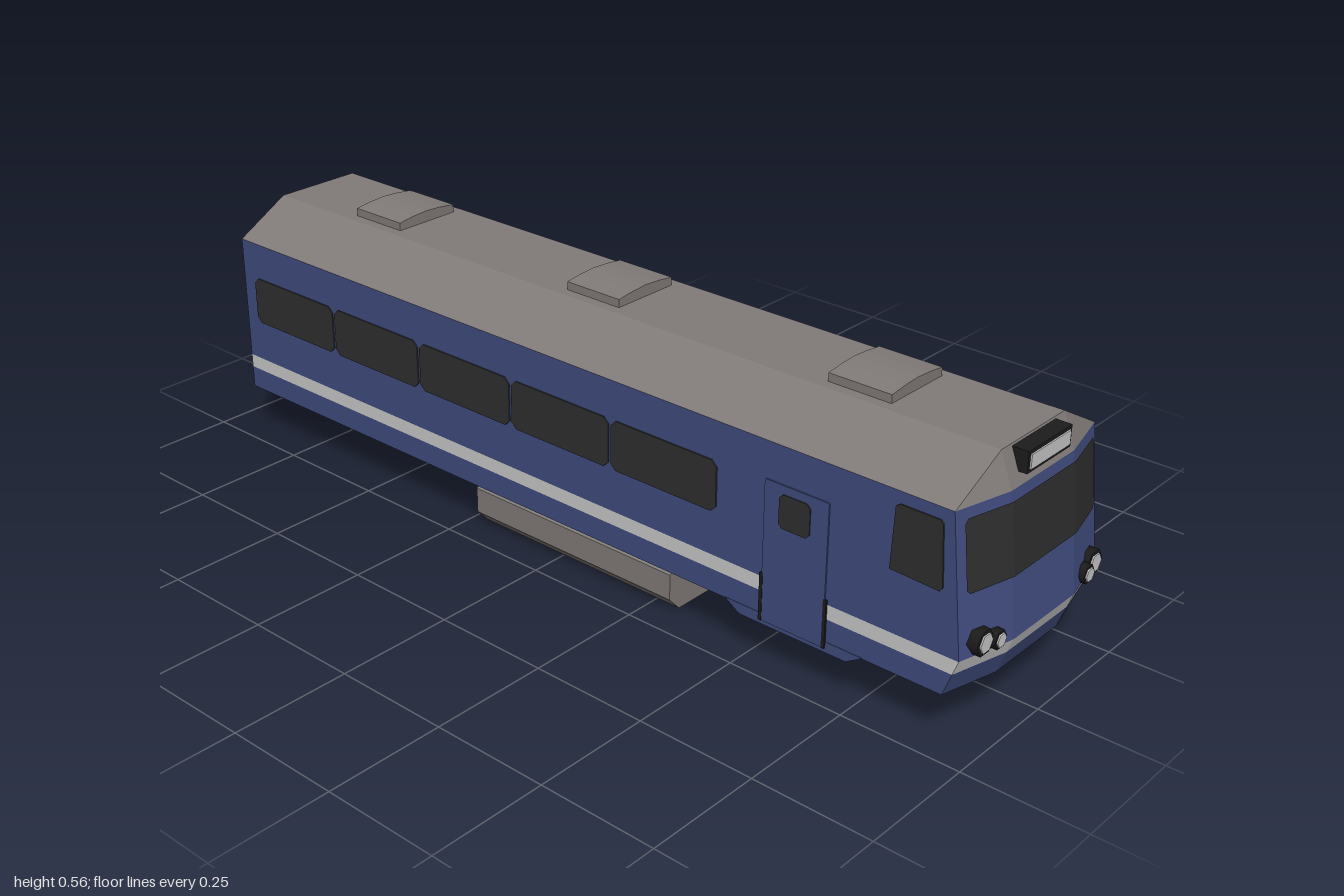
import * as THREE from 'three';

const mat = (name, color) => Object.assign(new THREE.MeshStandardMaterial({ color }), { name });

export function createModel() {
  const train = new THREE.Group();
  train.name = 'railcar';
  const blue = mat('body blue', 0x404c7e);
  const grey = mat('roof grey', 0x817b79);
  const dark = mat('glass dark', 0x2e2e2e);
  const black = mat('trim black', 0x1c1c1c);
  const light = mat('stripe light grey', 0xc8c8c8);

  const W = 0.222, INNER = 0.1, REAR = -0.908;

  function add(name, geometry, material, x = 0, y = 0, z = 0, parent = train) {
    const mesh = new THREE.Mesh(geometry, material);
    mesh.name = name;
    mesh.position.set(x, y, z);
    parent.add(mesh);
    return mesh;
  }
  const box = (name, w, h, d, material, x, y, z) =>
    add(name, new THREE.BoxGeometry(w, h, d), material, x, y, z);

  // Flat-shaded surface through rows of points (bottom to top, left to right from outside)
  function skin(rows) {
    const p = [];
    for (let r = 0; r + 1 < rows.length; r++) {
      for (let i = 0; i + 1 < rows[r].length; i++) {
        const a = rows[r][i], b = rows[r][i + 1], c = rows[r + 1][i + 1], d = rows[r + 1][i];
        p.push(...a, ...b, ...c, ...a, ...c, ...d);
      }
    }
    const g = new THREE.BufferGeometry();
    g.setAttribute('position', new THREE.Float32BufferAttribute(p, 3));
    g.computeVertexNormals();
    return g;
  }

  function outline(points) {
    return new THREE.Shape(points.map(([x, y]) => new THREE.Vector2(x, y)));
  }
  function prism(points, depth) {
    return new THREE.ExtrudeGeometry(outline(points), { depth, bevelEnabled: false });
  }
  // Rectangle with cut corners, centred on the origin
  function cutRect(w, h, c) {
    const a = w / 2, b = h / 2;
    return [[-a + c, -b], [a - c, -b], [a, -b + c], [a, b - c], [a - c, b], [-a + c, b], [-a, b - c], [-a, -b + c]];
  }

  // Nose profile: furthest forward at the stripe, raked back above and below
  function noseZ(y) {
    if (y < 0.19) return THREE.MathUtils.mapLinear(y, 0.112, 0.19, 0.965, 0.993);
    return THREE.MathUtils.mapLinear(y, 0.19, 0.465, 0.993, 0.962);
  }
  const faceZ = (x, y) => noseZ(y) - 0.03 * Math.max(0, Math.abs(x) - INNER) / (W - INNER);

  // Body shell in horizontal bands
  const ring = (y) => [
    [-W, y, faceZ(W, y)], [-INNER, y, noseZ(y)], [INNER, y, noseZ(y)], [W, y, faceZ(W, y)],
    [W, y, REAR], [-W, y, REAR], [-W, y, faceZ(W, y)],
  ];
  add('lowerBody', skin([ring(0.112), ring(0.16)]), blue);
  add('bodyStripe', skin([ring(0.16), ring(0.19)]), light);
  add('upperBody', skin([ring(0.19), ring(0.465)]), blue);

  // Roof with sloped sides and nose
  const ty = 0.533, tz = 0.936;
  const topRing = [
    [-INNER, ty, tz], [-INNER, ty, tz], [INNER, ty, tz], [INNER, ty, tz],
    [INNER, ty, REAR], [-INNER, ty, REAR], [-INNER, ty, tz],
  ];
  add('roofSides', skin([ring(0.465), topRing]), grey);
  add('roofTop', skin([[topRing[0], topRing[2]], [topRing[5], topRing[4]]]), grey);

  // Underfloor
  const f = ring(0.112);
  add('underfloor', skin([[f[5], f[5], f[4], f[4]], [f[0], f[1], f[2], f[3]]]), black);

  // Windscreen wrapped round the nose
  const screenRow = (y, w) => [-w, -INNER, INNER, w].map((x) => [x, y, faceZ(x, y) + 0.004]);
  add('windscreen', skin([
    screenRow(0.31, 0.198), screenRow(0.318, 0.205), screenRow(0.439, 0.205), screenRow(0.447, 0.198),
  ]), dark);

  // Destination box above the windscreen
  box('destinationFrame', 0.138, 0.042, 0.04, black, 0, 0.508, 0.95);
  box('destinationPanel', 0.125, 0.028, 0.004, light, 0, 0.508, 0.971);

  // Six-sided headlights
  function hexLamp(name, x, y, r) {
    const lamp = new THREE.Group();
    lamp.name = name;
    lamp.position.set(x, y, faceZ(x, y));
    const hex = (rad, depth) => new THREE.CylinderGeometry(rad, rad, depth, 6)
      .rotateY(Math.PI / 6).rotateX(Math.PI / 2).toNonIndexed();
    add('lampHousing', hex(r, 0.03), black, 0, 0, 0, lamp);
    add('lampLens', hex(r * 0.74, 0.006), light, 0, 0, 0.015, lamp);
    train.add(lamp);
  }

  for (const s of [-1, 1]) {
    hexLamp('headlight', s * 0.179, 0.217, 0.026);
    hexLamp('markerLight', s * 0.145, 0.211, 0.019);

    // Flat plate on a body side: shape is drawn in (z, y)
    const sidePlate = (name, points, z, y, thick, material) => {
      const g = prism(points.map(([a, b]) => [-a, b]).reverse(), thick).rotateY(Math.PI / 2);
      if (s < 0) g.translate(-thick, 0, 0);
      return add(name, g, material, s * W, y, z);
    };

    // Passenger windows
    for (let i = 0; i < 5; i++) {
      sidePlate('sideWindow', cutRect(0.256, 0.104, 0.012), 0.308 - i * 0.2625, 0.333, 0.003, dark);
    }
    // Cab window
    sidePlate('cabWindow', [[-0.053, -0.062], [0.048, -0.066], [0.054, -0.058], [0.046, 0.06],
      [0.04, 0.066], [-0.04, 0.066], [-0.048, 0.06]], 0.868, 0.376, 0.003, dark);

    // Door, its window and lower jambs
    sidePlate('sideDoor', cutRect(0.14, 0.29, 0.002), 0.616, 0.246, 0.003, blue);
    sidePlate('doorWindow', cutRect(0.068, 0.068, 0.008), 0.614, 0.34, 0.005, dark);
    for (const e of [-1, 1]) {
      sidePlate('doorJamb', cutRect(0.007, 0.1, 0.001), 0.616 + e * 0.071, 0.15, 0.004, black);
    }

    // Step well below the door: black block with a blue outer face
    const well = [[-0.155, 0.022], [-0.12, 0], [0.12, 0], [0.155, 0.022]];
    const block = sidePlate('stepWell', well, 0.616, 0.092, 0.04, black);
    block.position.x = s * (W - 0.04);
    sidePlate('stepSkirt', well, 0.616, 0.092, 0.001, blue);
  }

  // Roof vents with a shallow crown
  for (const z of [0.633, 0, -0.62]) {
    add('roofVent', prism([[-0.077, 0], [0.077, 0], [0.077, 0.02], [0.035, 0.025], [0, 0.027],
      [-0.035, 0.025], [-0.077, 0.02]], 0.136), grey, 0, 0.53, z - 0.068);
  }

  // Underframe beam and equipment tank
  box('centreBeam', 0.124, 0.077, 1.825, dark, 0, 0.0755, -0.0275);
  add('equipmentTank', prism([[-0.167, 0], [0.167, 0], [0.195, 0.03], [0.195, 0.085], [0.167, 0.112],
    [-0.167, 0.112], [-0.195, 0.085], [-0.195, 0.03]], 0.525), grey, 0, 0, -0.22);

  // Rear gangway: frame, door, window and footplate
  const frame = outline([[-0.1, 0.12], [0.1, 0.12], [0.1, 0.455], [0.09, 0.465], [-0.09, 0.465], [-0.1, 0.455]]);
  frame.holes.push(new THREE.Path([[-0.072, 0.135], [-0.072, 0.435], [0.072, 0.435], [0.072, 0.135]]
    .map(([x, y]) => new THREE.Vector2(x, y))));
  add('gangwayFrame', new THREE.ExtrudeGeometry(frame, { depth: 0.034, bevelEnabled: false }), black, 0, 0, -0.942);
  box('gangwayDoor', 0.146, 0.302, 0.008, grey, 0, 0.285, REAR - 0.004);
  add('gangwayWindow', prism(cutRect(0.058, 0.074, 0.015), 0.005), dark, 0, 0.385, REAR - 0.012);
  add('footplate', prism([[-0.1, 0.942], [0.1, 0.942], [0.1, 0.965], [0.08, 0.985], [-0.08, 0.985], [-0.1, 0.965]], 0.01)
    .rotateX(-Math.PI / 2), grey, 0, 0.13, 0);

  // Rear coupler
  box('couplerShank', 0.022, 0.012, 0.05, grey, 0, 0.06, -0.96);
  for (const s of [-1, 1]) {
    box('couplerJaw', 0.01, 0.018, 0.022, grey, s * 0.014, 0.06, -0.989);
  }
  return train;
}
